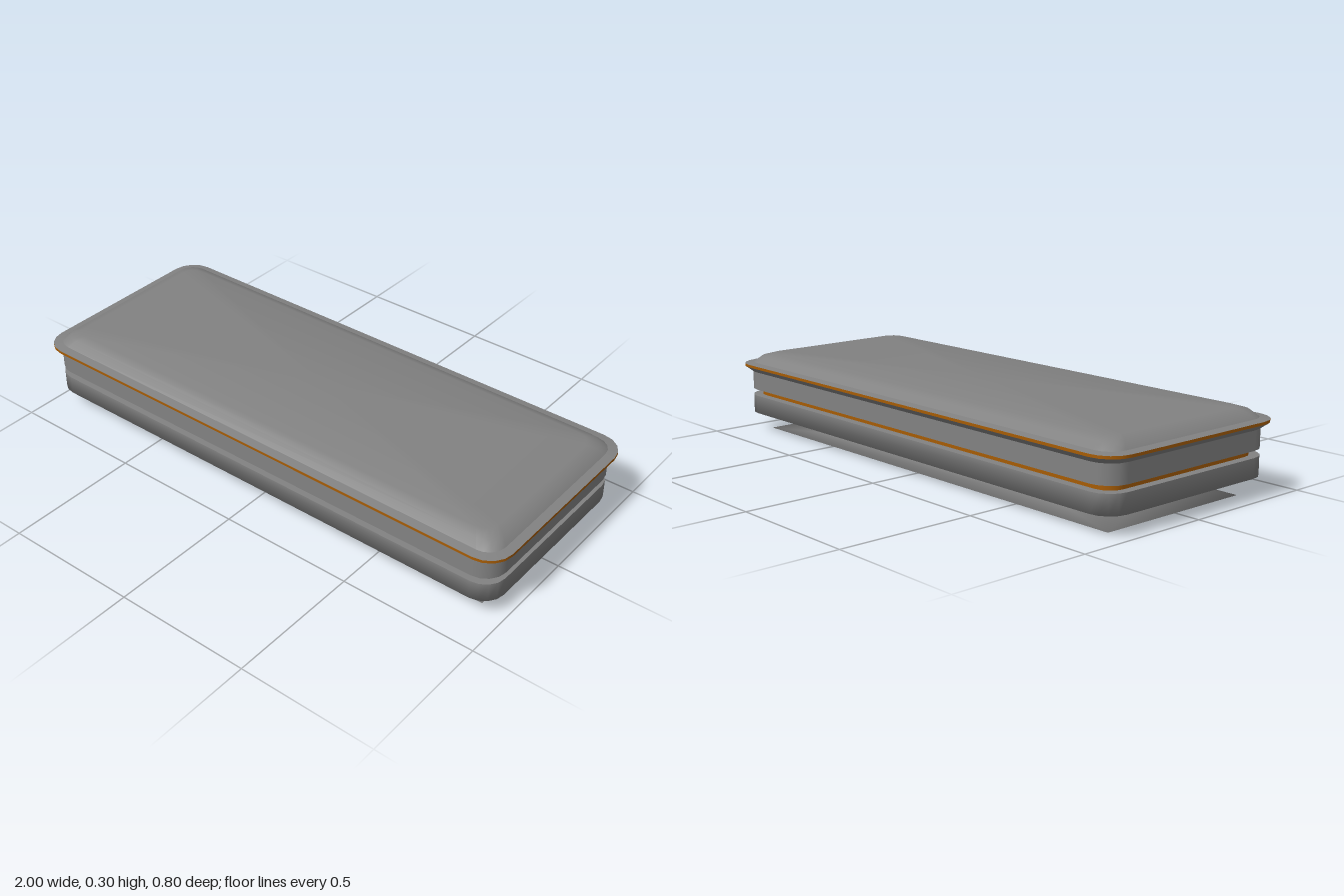
import * as THREE from 'three';

const GREY = 0x828282;
const ORANGE = 0xa65c04;

// Outline of a rounded rectangle as [x, z, outward x, outward z]; seg 0 gives square corners
function outline(hx, hz, r, seg) {
  const pts = [];
  for (let c = 0; c < 4; c++) {
    const sx = c === 0 || c === 3 ? 1 : -1;
    const sz = c < 2 ? 1 : -1;
    for (let k = 0; k <= seg; k++) {
      const a = (c + (seg ? k / seg : 0.5)) * Math.PI / 2;
      const dx = Math.cos(a), dz = Math.sin(a);
      pts.push([sx * (hx - r) + r * dx, sz * (hz - r) + r * dz, dx, dz]);
    }
  }
  return pts;
}

// Loft through sections [y, halfX, halfZ, radius], bottom to top.
// A repeated section makes a hard edge; a zero-size section closes the part.
// The optional section "below" only softens the shading of the lowest edge.
function loft(name, color, sections, seg = 4, below = sections[0]) {
  const pos = [], nor = [], idx = [];
  const n = 4 * (seg + 1);
  const rings = sections.map(([y, hx, hz, r]) => ({ y, pts: outline(hx, hz, r, seg) }));
  const belowRing = { y: below[0], pts: outline(below[1], below[2], below[3], seg) };

  // Unit normal of the band between two rings at point j (zero for a repeated ring)
  const bandNormal = (lo, hi, j) => {
    const [x, z, dx, dz] = lo.pts[j];
    const rise = hi.y - lo.y;
    const spread = (hi.pts[j][0] - x) * dx + (hi.pts[j][1] - z) * dz;
    return new THREE.Vector3(rise * dx, -spread, rise * dz).normalize();
  };

  rings.forEach((ring, i) => {
    const prev = rings[i - 1] ?? belowRing;
    const next = rings[i + 1] ?? ring;
    ring.pts.forEach(([x, z], j) => {
      pos.push(x, ring.y, z);
      const v = bandNormal(prev, ring, j).add(bandNormal(ring, next, j)).normalize();
      nor.push(v.x, v.y, v.z);
    });
    if (sections[i] === sections[i + 1] || next === ring) return;
    for (let j = 0; j < n; j++) {
      const a = i * n + j, b = i * n + (j + 1) % n;
      if (sections[i][1] > 0) idx.push(a, a + n, b);
      if (sections[i + 1][1] > 0) idx.push(b, a + n, b + n);
    }
  });

  const geo = new THREE.BufferGeometry();
  geo.setAttribute('position', new THREE.Float32BufferAttribute(pos, 3));
  geo.setAttribute('normal', new THREE.Float32BufferAttribute(nor, 3));
  geo.setIndex(idx);
  const mesh = new THREE.Mesh(geo, new THREE.MeshStandardMaterial({ color, side: THREE.DoubleSide }));
  mesh.name = name;
  return mesh;
}

export function createModel() {
  const group = new THREE.Group();
  group.name = 'slab';

  // Thin square-cornered foot plate, softly shaded across its underside
  group.add(loft('footPlate', GREY, [
    [0, 0, 0, 0], [0, 0.905, 0.305, 0], [0.013, 0.65, 0.235, 0],
  ], 0));

  // Coloured neck flowing up out of the foot
  group.add(loft('neck', ORANGE, [
    [0.013, 0.65, 0.235, 0.03], [0.03, 0.665, 0.252, 0.04],
  ], 4, [0, 0.905, 0.305, 0.03]));

  // Lower body: sloped belly blending into the upright wall
  const low = [0.14, 0.975, 0.377, 0.08];
  const grooveLow = [0.14, 0.945, 0.345, 0.06];
  group.add(loft('lowerBody', GREY, [
    [0.03, 0.665, 0.252, 0.04], [0.071, 0.975, 0.377, 0.08], low, low, grooveLow,
  ]));

  // Coloured band set into the groove
  const grooveHigh = [0.164, 0.945, 0.345, 0.06];
  group.add(loft('grooveBand', ORANGE, [grooveLow, grooveHigh]));

  // Upper body: ledge, upright wall, flare out to the rim
  const up = [0.164, 0.975, 0.377, 0.08];
  const flare = [0.232, 0.975, 0.377, 0.08];
  const rimLow = [0.252, 1, 0.4, 0.09];
  group.add(loft('upperBody', GREY, [grooveHigh, up, up, flare, flare, rimLow]));

  // Coloured rim trim and the narrow shelf on top of it
  const rimHigh = [0.262, 1, 0.4, 0.09];
  const shelf = [0.266, 0.968, 0.368, 0.065];
  group.add(loft('rimTrim', ORANGE, [rimLow, rimHigh]));
  group.add(loft('rimShelf', GREY, [rimHigh, shelf]));

  // Softly bevelled lid
  group.add(loft('lid', GREY, [
    shelf, [0.289, 0.945, 0.343, 0.06], [0.3, 0.91, 0.31, 0.05], [0.3, 0, 0, 0],
  ]));

  return group;
}
